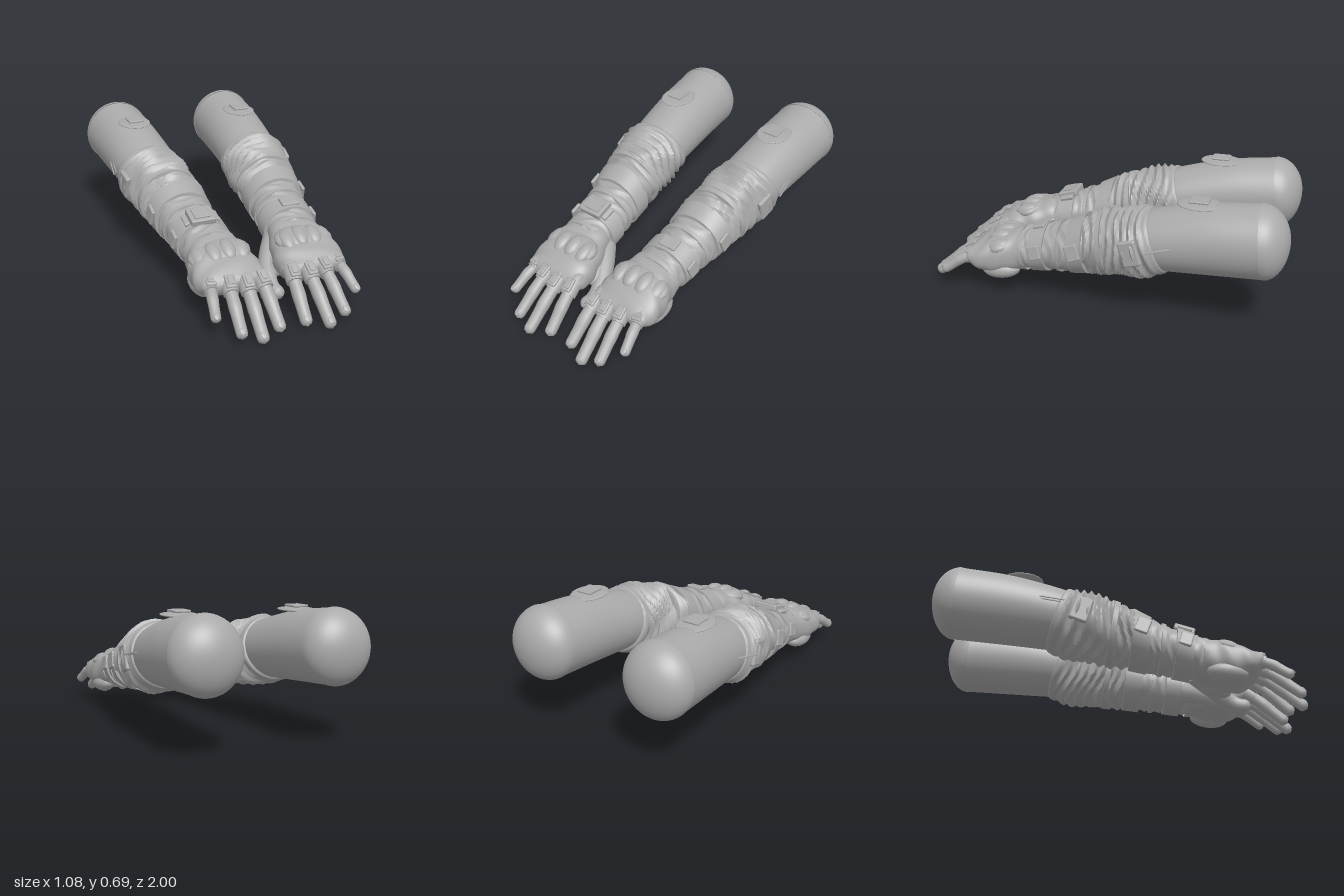
import * as THREE from 'three';
import { toCreasedNormals } from 'three/addons/utils/BufferGeometryUtils.js';
import { RoundedBoxGeometry } from 'three/addons/geometries/RoundedBoxGeometry.js';

const grey = new THREE.MeshStandardMaterial({ color: 0xaaaaaa, side: THREE.DoubleSide });
grey.name = 'plain grey';

// Stations along the arm: [z, centreX, halfWidth, bottomY, topY]
const SLEEVE = [
  [-0.345, 0.317, 0.165, 0.29, 0.585], [-0.335, 0.318, 0.184, 0.272, 0.604], [-0.29, 0.32, 0.188, 0.255, 0.602],
  [-0.22, 0.315, 0.186, 0.235, 0.592], [-0.12, 0.3, 0.173, 0.22, 0.572], [-0.02, 0.29, 0.166, 0.207, 0.54],
  [0.08, 0.28, 0.16, 0.203, 0.495], [0.18, 0.268, 0.148, 0.18, 0.45], [0.28, 0.255, 0.145, 0.173, 0.418],
  [0.38, 0.245, 0.138, 0.157, 0.392], [0.46, 0.235, 0.142, 0.145, 0.368],
];
const UPPER_ARM = [
  [-0.865, 0.352, 0.186, 0.318, 0.698], [-0.6, 0.338, 0.181, 0.3, 0.667],
  [-0.32, 0.319, 0.172, 0.28, 0.6], [-0.22, 0.31, 0.15, 0.265, 0.555],
];
const PALM = [
  [0.4, 0.24, 0.134, 0.15, 0.38], [0.48, 0.23, 0.155, 0.135, 0.362], [0.56, 0.228, 0.174, 0.118, 0.345],
  [0.64, 0.225, 0.183, 0.12, 0.315], [0.7, 0.222, 0.178, 0.15, 0.285], [0.735, 0.22, 0.16, 0.18, 0.262],
  [0.75, 0.22, 0.1, 0.205, 0.24], [0.752, 0.22, 0.001, 0.222, 0.223],
];

// Skins cross-sections; smooth > 1 adds curved in-between rings
function loft(stations, { smooth = 1, seg = 40, power = 1, slant = () => 0, bump = () => 0, crease = 0.9 } = {}) {
  const a = new THREE.CatmullRomCurve3(stations.map(s => new THREE.Vector3(s[0], s[1], s[2])), false, 'catmullrom');
  const b = new THREE.CatmullRomCurve3(stations.map(s => new THREE.Vector3(s[0], s[3], s[4])), false, 'catmullrom');
  const n = (stations.length - 1) * smooth, pos = [], idx = [];
  const soft = v => Math.sign(v) * Math.abs(v) ** power;
  for (let i = 0; i <= n; i++) {
    const p = a.getPoint(i / n), q = b.getPoint(i / n);
    for (let j = 0; j < seg; j++) {
      const t = j / seg * Math.PI * 2, c = soft(Math.cos(t)), s = soft(Math.sin(t)), d = bump(p.x, t);
      pos.push(p.y + c * (p.z + d), (q.y + q.z) / 2 + s * ((q.z - q.y) / 2 + d), p.x + s * slant(p.x));
      if (i < n) {
        const k = i * seg, e = (j + 1) % seg;
        idx.push(k + j, k + e, k + seg + j, k + e, k + seg + e, k + seg + j);
      }
    }
  }
  const g = new THREE.BufferGeometry();
  g.setAttribute('position', new THREE.Float32BufferAttribute(pos, 3));
  g.setIndex(idx);
  return toCreasedNormals(g, crease);
}

// Tapered tube with a rounded tip
function limb(curve, r0, r1, seg = 14) {
  const n = 36, g = new THREE.TubeGeometry(curve, n, 1, seg), P = g.attributes.position, v = new THREE.Vector3();
  const cap = r1 / curve.getLength();
  for (let i = 0; i <= n; i++) {
    const u = i / n, c = curve.getPointAt(u), w = Math.max(0, (u - 1 + cap) / cap);
    const knuckle = 1 + 0.07 * Math.exp(-(((u - 0.62) / 0.07) ** 2));
    const r = (r0 + (r1 - r0) * u) * knuckle * Math.sqrt(Math.max(0.0004, 1 - w * w));
    for (let j = 0; j <= seg; j++) {
      const k = i * (seg + 1) + j;
      v.fromBufferAttribute(P, k).sub(c).multiplyScalar(r).add(c);
      P.setXYZ(k, v.x, v.y, v.z);
    }
  }
  return toCreasedNormals(g, 1);
}

// Sleeve section at any z, grown by an offset
function sleeveAt(z, off) {
  let i = 0;
  while (i < SLEEVE.length - 2 && SLEEVE[i + 1][0] < z) i++;
  const A = SLEEVE[i], B = SLEEVE[i + 1], t = (z - A[0]) / (B[0] - A[0]);
  const s = A.map((v, k) => v + (B[k] - v) * t);
  return [z, s[1], s[2] + off, s[3] - off, s[4] + off];
}

const slant = z => 0.055 * THREE.MathUtils.clamp((0.2 - z) / 0.5, 0.2, 1);

// Cloth folds that wind around the forearm
function folds(z, t) {
  const fade = THREE.MathUtils.smoothstep(z, -0.35, -0.25) * (1 - 0.6 * THREE.MathUtils.smoothstep(z, 0, 0.2));
  const w = Math.sin(z * 62 + 1.6 * Math.sin(2 * t + z * 8) + 0.8 * Math.sin(3 * t + 1));
  return fade * (0.011 * (1 - 2 * Math.abs(w) ** 1.4) + 0.006 * Math.sin(5 * t + z * 24));
}

function buildArm(isRight) {
  const arm = new THREE.Group();
  const add = (name, geo, pos = [0, 0, 0], rot = [0, 0, 0], scale = [1, 1, 1]) => {
    const m = new THREE.Mesh(geo, grey);
    m.name = name;
    m.position.set(...pos);
    m.rotation.set(...rot);
    m.scale.set(...scale);
    arm.add(m);
  };
  const box = (w, h, d, r = 0.008) => new RoundedBoxGeometry(w, h, d, 2, r);
  const ball = new THREE.SphereGeometry(1, 20, 14);

  // Upper arm with a domed end
  add('upperArm', loft(UPPER_ARM, { smooth: 6, seg: 48, slant: () => 0.02 }));
  const dome = [];
  for (let i = 0; i <= 12; i++) {
    const t = (1 - i / 12) * Math.PI / 2, r = Math.max(0.001, Math.cos(t));
    dome.push([-0.862 - 0.138 * Math.sin(t), 0.352, 0.189 * r, 0.509 - 0.193 * r, 0.509 + 0.193 * r]);
  }
  add('upperArmDome', loft(dome, { seg: 48, slant: z => 0.02 * Math.min(1, (z + 1) / 0.138) }));

  // Shoulder badge: lens disc and a small plate
  add('badgeDisc', ball, [0.333, 0.665, -0.54], [0, 0, 0], [0.092, 0.012, 0.115]);
  add('badgePlate', box(0.085, 0.012, 0.1, 0.005), [0.333, 0.684, -0.54]);

  // Sleeve, pull tabs and straps
  add('sleeve', loft(SLEEVE, { smooth: 9, seg: 56, slant, bump: folds, crease: 0.7 }));
  for (const k of [0, 1]) {
    add('sleevePullTab', box(0.006, 0.008, 0.13, 0.002), [0.505 + k * 0.018, 0.465, -0.39 + k * 0.02], [0.22, 0.12, 0]);
  }
  add('elbowFlap', box(0.03, 0.14, 0.1, 0.012), [0.492, 0.42, -0.22], [0.3, -0.1, 0]);
  const bands = [[-0.06, -0.03, 0.008], [0.05, 0.145, 0.012], [0.2, 0.225, 0.008], [0.28, 0.375, 0.012], [0.425, 0.45, 0.006]];
  for (const [z0, z1, off] of bands) {
    const rings = [[z0, -0.012], [z0 + 0.002, off], [z1 - 0.002, off], [z1, -0.012]].map(r => sleeveAt(...r));
    add('strap', loft(rings, { seg: 40, slant, crease: 0.6 }));
  }
  add('strapBuckle', box(0.02, 0.09, 0.075), [0.447, 0.36, 0.1], [0.35, 0, 0.1]);
  add('strapBuckle', box(0.02, 0.08, 0.07), [0.402, 0.31, 0.33], [0.3, 0, 0.15]);
  if (isRight) {
    // Wrist device on the right arm only
    add('wristDevice', box(0.135, 0.035, 0.115), [0.25, 0.418, 0.335], [0.28, 0, 0]);
    add('wristDeviceScreen', box(0.09, 0.01, 0.075, 0.004), [0.25, 0.438, 0.341], [0.28, 0, 0]);
    for (const s of [-1, 1]) add('wristDeviceLug', box(0.03, 0.03, 0.08), [0.25 + s * 0.08, 0.4, 0.332], [0.28, 0, -s * 0.4]);
  } else {
    add('wristStrapPlate', box(0.1, 0.02, 0.07), [0.255, 0.418, 0.335], [0.28, 0, 0]);
  }

  // Gloved palm
  add('palm', loft(PALM, { smooth: 6, seg: 44, power: 0.8, bump: (z, t) => 0.003 * Math.sin(z * 60 + 3 * t) }));
  add('palmHeel', ball, [0.335, 0.155, 0.55], [0.1, 0, 0], [0.06, 0.05, 0.11]);

  // Knuckle guard
  add('knuckleGuardBase', ball, [0.235, 0.3, 0.555], [0.3, 0, -0.08], [0.165, 0.05, 0.1]);
  [[0.13, 0.315], [0.2, 0.328], [0.275, 0.322], [0.345, 0.298]].forEach(([x, y], i) => {
    add('knucklePad', ball, [x, y, 0.575 - (i === 3 ? 0.015 : 0)], [0.35, 0, i === 3 ? -0.3 : 0], [0.042, 0.034, 0.07]);
  });

  // Fingers: base x, base y, tip
  const fingers = [
    [0.085, 0.235, 0.07, 0.035, 0.95, 0.037], [0.168, 0.242, 0.18, 0.024, 0.997, 0.037],
    [0.255, 0.238, 0.278, 0.055, 0.967, 0.035], [0.343, 0.222, 0.38, 0.122, 0.885, 0.031],
  ];
  for (const [bx, by, tx, ty, tz, r] of fingers) {
    const at = (k, lift) => new THREE.Vector3(bx + (tx - bx) * k, by + (ty - by) * k + lift, 0.69 + (tz - 0.69) * k);
    const curve = new THREE.CatmullRomCurve3([new THREE.Vector3(bx, by - 0.005, 0.6), at(0, 0), at(0.42, 0.018), at(0.75, 0.008), at(1, 0)]);
    add('finger', limb(curve, r, r * 0.82));
    // Glove cuff, armour plate and nail, each turned to follow the finger
    const place = (name, geo, u, lift, scale) => {
      const p = curve.getPointAt(u), d = curve.getTangentAt(u), e = Math.atan2(-d.y, d.z);
      add(name, geo, [p.x, p.y + lift * Math.cos(e), p.z + lift * Math.sin(e)], [e, Math.atan2(d.x, d.z), 0], scale);
    };
    const cuff = new THREE.CylinderGeometry(r * 1.14, r * 1.16, 0.075, 18).rotateX(Math.PI / 2);
    place('fingerCuff', cuff, 0.36, 0);
    place('fingerArmour', box(0.052, 0.018, 0.075), 0.34, r + 0.004);
    place('fingerArmourInset', box(0.03, 0.01, 0.045, 0.004), 0.34, r + 0.014);
    place('fingerNail', ball, 0.92, r * 0.7, [r * 0.5, 0.006, 0.022]);
  }

  // Thumb reaching inward under the palm
  const thumb = new THREE.CatmullRomCurve3([[0.14, 0.24, 0.4], [0.07, 0.195, 0.49], [0.022, 0.145, 0.58], [0.018, 0.105, 0.655], [0.04, 0.09, 0.725]]
    .map(p => new THREE.Vector3(...p)));
  add('thumb', limb(thumb, 0.062, 0.034, 16));
  add('thumbBase', ball, [0.1, 0.185, 0.52], [0.3, -0.45, 0.3], [0.06, 0.06, 0.11]);
  return arm;
}

export function createModel() {
  const model = new THREE.Group();
  model.name = 'glovedArms';
  const left = buildArm(false), right = buildArm(true);
  left.name = 'leftArm';
  right.name = 'rightArm';
  right.scale.x = -1;
  model.add(left, right);
  return model;
}
